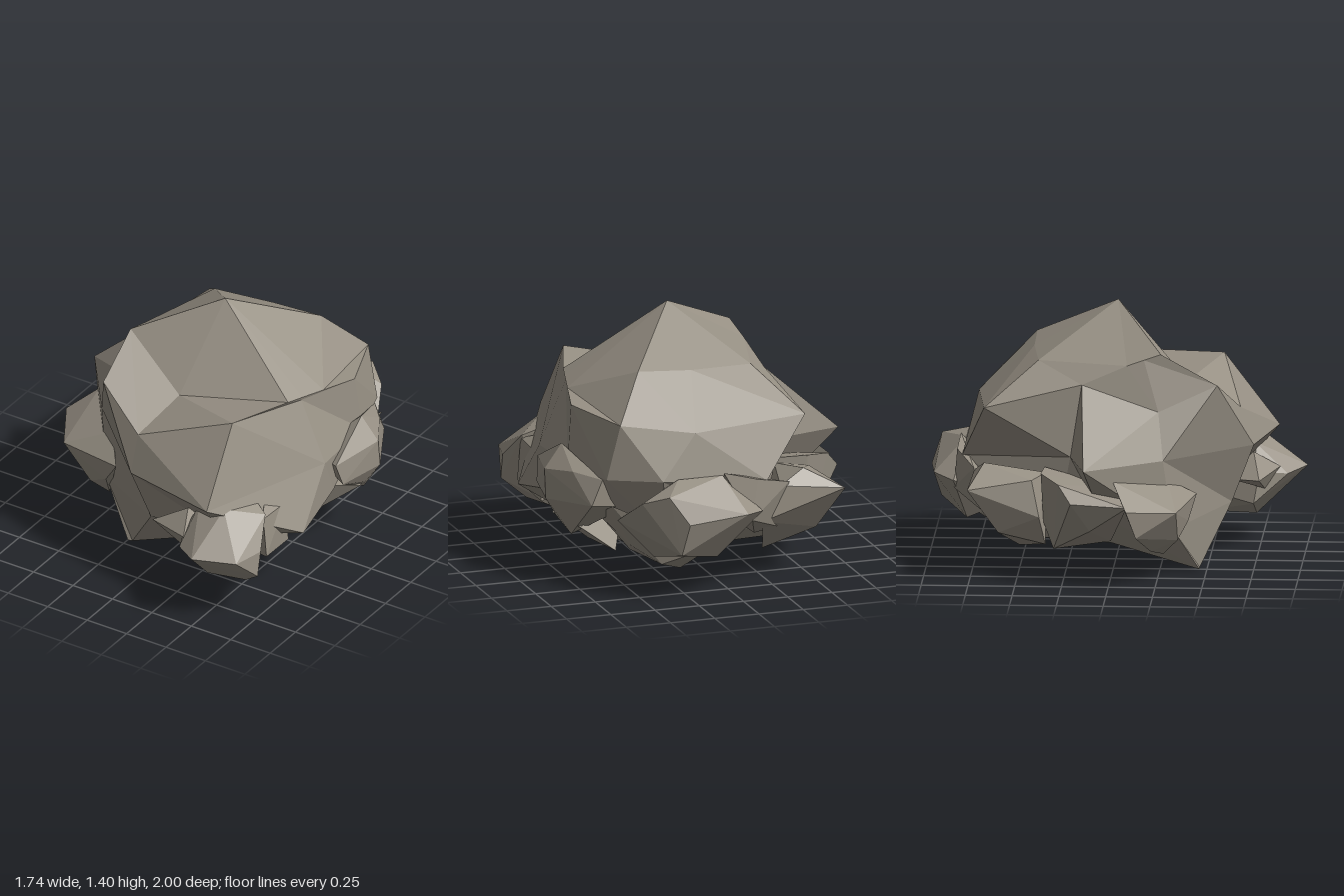
import * as THREE from 'three';
import { ConvexGeometry } from 'three/addons/geometries/ConvexGeometry.js';

const stone = new THREE.MeshStandardMaterial({ color: 0x979084, flatShading: true });
stone.name = 'warm grey stone';

// Faceted solid lofted through closed rings (bottom to top), capped by two points
function loft(bottom, rings, top) {
  const n = rings[0].length;
  const tris = [];
  for (let i = 0; i < n; i++) {
    const j = (i + 1) % n;
    tris.push(bottom, rings[0][j], rings[0][i]);
    for (let r = 0; r < rings.length - 1; r++) {
      const a = rings[r], b = rings[r + 1];
      tris.push(a[i], a[j], b[i], a[j], b[j], b[i]);
    }
    const last = rings[rings.length - 1];
    tris.push(last[i], last[j], top);
  }
  const geo = new THREE.BufferGeometry();
  geo.setAttribute('position', new THREE.Float32BufferAttribute(tris.flat(), 3));
  geo.computeVertexNormals();
  return geo;
}

// Angular chunk spanned by its corner points
const chunk = (corners) => new ConvexGeometry(corners.map((c) => new THREE.Vector3(...c)));

export function createModel() {
  const group = new THREE.Group();
  group.name = 'rockPile';
  const add = (name, geo) => {
    const mesh = new THREE.Mesh(geo, stone);
    mesh.name = name;
    group.add(mesh);
  };

  // Large boulder: each ring runs front left, front, right, back, left
  const foot = [[-.25, 0, .46], [-.22, .005, .46], [.2, .07, .24], [.37, .1, .08], [.38, .1, .02],
    [.3, .17, -.45], [.2, .18, -.5], [-.3, .18, -.45], [-.38, .18, -.2], [-.4, .17, 0]];
  const belly = [[-.47, .26, .33], [0, .32, .62], [.42, .33, .57], [.8, .35, .36], [.76, .42, 0],
    [.55, .35, -.5], [.3, .27, -.65], [-.3, .27, -.55], [-.42, .33, -.28], [-.58, .36, -.05]];
  const waist = [[-.53, .645, .28], [-.05, .64, .74], [.5, .64, .85], [.77, .64, .1], [.75, .64, -.3],
    [.64, .63, -.62], [.38, .64, -.79], [-.2, .6, -.81], [-.43, .64, -.22], [-.84, .645, -.13]];
  const shoulder = [[-.34, 1.02, .56], [-.05, .845, .67], [.475, 1.035, .555], [.62, .99, .1],
    [.72, .96, -.27], [.57, .93, -.64], [.18, .88, -.74], [-.46, .91, -.68], [-.41, 1.03, -.16],
    [-.43, .89, .25]];
  const crown = [[-.36, 1.19, .26], [.03, .97, .385], [.6, 1.02, .2], [.626, 1.008, .1],
    [.664, .988, -.05], [.4, 1.16, -.44], [.1, 1.14, -.44], [-.25, 1.13, -.4], [-.38, 1.13, .08],
    [-.37, 1.16, .17]];
  add('mainBoulder', loft([0, .12, 0], [foot, belly, waist, shoulder, crown], [.08, 1.4, .01]));

  // Smaller rocks wedged around the base
  add('frontLeftRock', chunk([[-.87, .43, .1], [-.82, .28, .15], [-.62, .17, .22], [-.48, .13, .28],
    [-.71, .57, .02], [-.62, .58, .05], [-.45, .53, .3], [-.33, .43, .45], [-.42, .3, .41],
    [-.72, .4, .36], [-.55, .22, .36]]));
  add('leftRock', chunk([[-.81, .46, -.2], [-.73, .55, -.27], [-.58, .58, -.37], [-.4, .58, -.36],
    [-.5, .3, -.36], [-.62, .18, -.3], [-.74, .3, -.1], [-.5, .2, 0], [-.5, .5, 0], [-.8, .44, .1]]));

  add('frontRightRock', chunk([[.5, .42, 1], [.36, .4, .9], [.72, .41, .9], [.76, .41, .72],
    [.76, .27, .75], [.64, .17, .68], [.43, .17, .73], [.28, .25, .72], [.37, .57, .72],
    [.53, .63, .5], [.54, .61, .74], [.7, .55, .58], [.4, .3, .45], [.53, .16, .45], [.3, .42, .75]]));
  add('frontRightShard', chunk([[.1, .41, .76], [.3, .53, .72], [.36, .44, .86], [.3, .33, .78],
    [.4, .4, .5], [.2, .4, .6]]));
  add('frontRightWedge', chunk([[.7, .52, .39], [.58, .61, .4], [.55, .36, .3],
    [.68, .25, .32], [.55, .17, .42], [.72, .3, .6], [.7, .53, .6]]));

  add('rightRock', chunk([[.8, .6, .04], [.77, .75, -.26], [.77, .64, -.44], [.71, .48, -.58],
    [.87, .46, -.29], [.87, .62, -.27], [.82, .47, 0], [.8, .35, -.25], [.74, .26, -.33],
    [.55, .55, -.1], [.5, .45, -.55], [.65, .62, -.58]]));
  add('rightFootRock', chunk([[.72, .42, -.02], [.8, .35, -.2], [.52, .15, .06], [.5, .13, -.1],
    [.52, .17, -.42], [.72, .32, -.42], [.4, .4, -.2], [.6, .19, -.2]]));

  add('backRock', chunk([[.3, .45, -1], [-.04, .47, -.97], [.4, .6, -.95], [.33, .27, -.95],
    [.52, .55, -.85], [.6, .42, -.68], [-.16, .45, -.86], [.05, .65, -.8], [.42, .22, -.75],
    [.08, .2, -.8], [.3, .65, -.8], [.2, .3, -.5]]));
  add('backFootRock', chunk([[.35, .15, -.68], [.2, .08, -.55], [.5, .25, -.6], [.6, .37, -.36],
    [.45, .18, -.45], [.1, .25, -.78], [.1, .18, -.4], [.35, .35, -.72], [.63, .5, -.68]]));

  add('backLeftRock', chunk([[-.66, .5, -.76], [-.45, .61, -.68], [-.57, .54, -.42], [-.3, .54, -.74],
    [-.2, .35, -.74], [-.55, .25, -.6], [-.5, .18, -.35], [-.28, .13, -.5], [-.58, .34, -.38],
    [-.4, .55, -.35]]));
  add('backMiddleShard', chunk([[-.35, .56, -.74], [-.14, .62, -.84], [.05, .67, -.83],
    [-.1, .4, -.86], [-.2, .25, -.6], [-.3, .3, -.68], [0, .4, -.6]]));
  return group;
}
